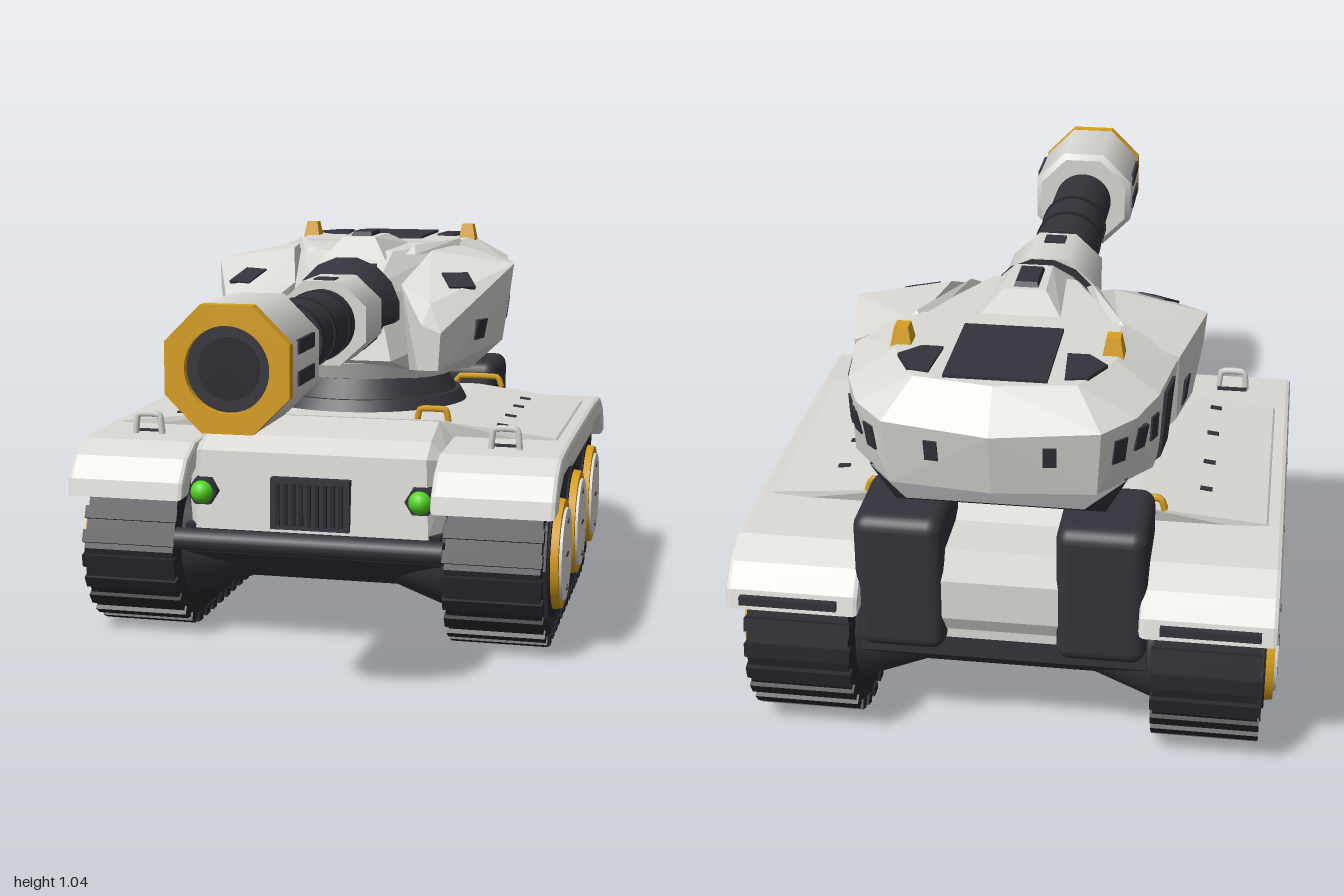
import * as THREE from 'three';
import { ConvexGeometry } from 'three/addons/geometries/ConvexGeometry.js';
import { RoundedBoxGeometry } from 'three/addons/geometries/RoundedBoxGeometry.js';

const paint = (name, color) => Object.assign(new THREE.MeshStandardMaterial({ color }), { name });

export function createModel() {
  const root = new THREE.Group();
  root.name = 'tank';
  const white = paint('white armour', 0xdbd9d5), dark = paint('dark metal', 0x34333b);
  const black = paint('black rubber', 0x27262d), yellow = paint('yellow trim', 0xd9a01e);
  const green = paint('green lamp', 0x52d41f);

  const add = (name, geo, mat, x = 0, y = 0, z = 0) => {
    const m = new THREE.Mesh(geo, mat);
    m.name = name;
    m.position.set(x, y, z);
    root.add(m);
    return m;
  };
  const vec = (p) => new THREE.Vector3(...p);
  // faceted solid around points; both = mirror the points across x
  const solid = (name, pts, mat, both = true, s = 1) => {
    const all = pts.map(([x, y, z]) => vec([x * s, y, z]));
    if (both) pts.forEach(([x, y, z]) => { if (x) all.push(vec([-x, y, z])); });
    return add(name, new ConvexGeometry(all), mat);
  };
  const box = (name, w, h, d, mat, x, y, z) => add(name, new THREE.BoxGeometry(w, h, d), mat, x, y, z);
  const shapeOf = (pts) => new THREE.Shape(pts.map(([a, b]) => new THREE.Vector2(a, b)));
  // side profile (z, y) extruded from x0 to x1
  const slabX = (name, shape, x0, x1, mat, bevel = 0) => {
    const geo = new THREE.ExtrudeGeometry(shape, {
      depth: x1 - x0 - 2 * bevel, bevelEnabled: bevel > 0, bevelSize: bevel, bevelOffset: -bevel,
      bevelThickness: bevel, bevelSegments: 2, curveSegments: 10 });
    return add(name, geo.rotateY(-Math.PI / 2).translate(x1 - bevel, 0, 0), mat);
  };
  const cylZ = (name, r0, r1, z0, z1, seg, mat, x, y) => add(name,
    new THREE.CylinderGeometry(r1, r0, z1 - z0, seg).rotateY(Math.PI / seg).rotateX(Math.PI / 2), mat, x, y, (z0 + z1) / 2);
  const cylX = (name, r0, r1, x0, x1, s, mat, y, z) => add(name,
    new THREE.CylinderGeometry(r1, r0, x1 - x0, 32).rotateZ(-s * Math.PI / 2), mat, s * (x0 + x1) / 2, y, z);
  const handle = (name, mat, x, y, z, w, h, r) => {
    const path = new THREE.CatmullRomCurve3([[-w / 2, 0, 0], [-w * 0.4, h, 0], [w * 0.4, h, 0], [w / 2, 0, 0]].map(vec), false, 'catmullrom', 0.2);
    return add(name, new THREE.TubeGeometry(path, 16, r, 6), mat, x, y, z);
  };
  // thin plate laid on the surface hit by a ray
  const ray = new THREE.Raycaster();
  const plate = (name, target, from, dir, w, h, mat) => {
    root.updateMatrixWorld(true);
    ray.set(vec(from), vec(dir).normalize());
    const hit = ray.intersectObject(target)[0];
    if (!hit) return;
    const m = box(name, w, h, 0.009, mat, 0, 0, 0);
    m.position.copy(hit.point);
    m.lookAt(hit.point.clone().add(hit.face.normal));
  };

  // hull
  solid('lowerHull', [[0.34, 0.32, 0.27], [0.34, 0.32, -0.84], [0.34, 0.24, 0.25], [0.34, 0.155, 0.14],
    [0.34, 0.155, -0.72], [0.34, 0.25, -0.84]], dark);
  const hull = solid('upperHull', [[0.29, 0.575, 0.02], [0.29, 0.575, -0.66], [0.3, 0.55, 0.19], [0.3, 0.515, 0.25],
    [0.31, 0.31, 0.272], [0.35, 0.5, 0.18], [0.35, 0.31, 0.2], [0.35, 0.52, -0.7], [0.31, 0.31, -0.8], [0.3, 0.53, -0.76]], white);
  const deck = solid('deck', [[0.29, 0.577, 0.02], [0.29, 0.577, -0.64], [0.6, 0.54, 0.01], [0.6, 0.54, -0.62],
    [0.63, 0.51, 0.01], [0.63, 0.51, -0.62], [0.63, 0.475, 0], [0.63, 0.475, -0.6]], white);
  add('frontBar', new THREE.CylinderGeometry(0.03, 0.03, 0.71, 12).rotateZ(Math.PI / 2), dark, 0, 0.285, 0.3);
  box('grilleFrame', 0.21, 0.135, 0.04, dark, 0, 0.388, 0.265);
  for (let i = -4; i <= 4; i++) box('grilleSlat', 0.01, 0.11, 0.012, black, i * 0.021, 0.388, 0.288);
  box('rearPanel', 0.3, 0.24, 0.2, white, 0, 0.43, -0.75);
  solid('rearPanelSlope', [[0.14, 0.55, -0.85], [0.14, 0.34, -0.86], [0.14, 0.38, -0.88], [0.14, 0.48, -0.88]], white);

  // running gear profiles, as (z, y)
  const trackLine = shapeOf([[0.325, 0.25], [0.31, 0.17], [0.25, 0.08], [0.15, 0.018], [-0.72, 0.018], [-0.83, 0.075],
    [-0.89, 0.17], [-0.91, 0.26], [-0.88, 0.37], [-0.79, 0.45], [0.16, 0.45], [0.27, 0.39]]);
  trackLine.closePath();
  const panelLine = shapeOf([[0.285, 0.25], [0.22, 0.11], [0.13, 0.055], [-0.71, 0.055], [-0.81, 0.11], [-0.865, 0.26],
    [-0.84, 0.36], [-0.77, 0.425], [0.15, 0.425], [0.25, 0.36]]);
  const fenderLine = shapeOf([[0.345, 0.395], [0.335, 0.44], [0.29, 0.495], [0.22, 0.528], [0.02, 0.535], [-0.62, 0.535],
    [-0.8, 0.525], [-0.87, 0.49], [-0.915, 0.44], [-0.928, 0.395], [-0.87, 0.395], [-0.83, 0.445], [-0.76, 0.47],
    [-0.6, 0.47], [-0.55, 0.455], [-0.05, 0.455], [0, 0.47], [0.18, 0.47], [0.25, 0.44], [0.285, 0.395]]);
  const links = trackLine.getSpacedPoints(46);

  for (const s of [1, -1]) {
    const span = (a, b) => (s > 0 ? [a, b] : [-b, -a]);
    // tracks with raised treads
    slabX('trackBelt', trackLine, ...span(0.36, 0.605), black);
    slabX('wheelPanel', panelLine, ...span(0.59, 0.613), dark);
    for (let i = 0; i < 46; i++) {
      const a = links[i], b = links[i + 1];
      const tread = box('tread', 0.255, 0.024, 0.034, black, s * 0.482, (a.y + b.y) / 2, (a.x + b.x) / 2);
      tread.rotation.x = -Math.atan2(b.y - a.y, b.x - a.x);
    }
    slabX('fender', fenderLine, ...span(0.325, 0.643), white, 0.012);
    // road wheels
    for (const z of [0.088, -0.288, -0.667]) {
      cylX('wheelRecess', 0.172, 0.165, 0.6, 0.618, s, black, 0.25, z);
      cylX('wheelRim', 0.15, 0.143, 0.6, 0.638, s, yellow, 0.25, z);
      cylX('wheelDisc', 0.125, 0.122, 0.62, 0.645, s, white, 0.25, z);
      for (const dy of [0.09, -0.09]) cylX('wheelBolt', 0.008, 0.008, 0.64, 0.648, s, dark, 0.25 + dy, z);
      box('wheelMark', 0.006, 0.006, 0.04, dark, s * 0.645, 0.25, z);
      cylX('axleHousing', 0.095, 0.165, 0.17, 0.365, s, dark, 0.25, z);
    }
    // fittings on the hull
    handle('liftingLoop', white, s * 0.485, 0.53, 0.135, 0.075, 0.052, 0.009);
    handle('frontHandle', yellow, s * 0.27, 0.57, 0.005, 0.085, 0.035, 0.009);
    handle('rearHandle', yellow, s * 0.29, 0.57, -0.635, 0.14, 0.03, 0.009);
    const lampRim = cylZ('lampHousing', 0.044, 0.04, 0.24, 0.285, 6, dark, s * 0.29, 0.41);
    lampRim.scale.y = 0.95;
    add('lamp', new THREE.SphereGeometry(0.031, 16, 10), green, s * 0.29, 0.41, 0.28);
    add('storageBox', new RoundedBoxGeometry(0.21, 0.35, 0.25, 3, 0.035), dark, s * 0.235, 0.465, -0.77);
    box('fenderSlot', 0.08, 0.006, 0.012, dark, s * 0.485, 0.537, 0.12);
    box('rearFenderStrip', 0.23, 0.02, 0.016, dark, s * 0.49, 0.42, -0.928);
    for (const z of [-0.05, -0.2, -0.36, -0.5]) plate('deckBolt', deck, [s * 0.45, 2, z], [0, -1, 0], 0.014, 0.03, dark);
  }

  // turret ring
  add('turretRing', new THREE.CylinderGeometry(0.28, 0.3, 0.035, 40), dark, 0, 0.59, -0.35);
  add('turretNeck', new THREE.CylinderGeometry(0.24, 0.27, 0.06, 40), dark, 0, 0.63, -0.35);
  add('turretSkirt', new THREE.CylinderGeometry(0.28, 0.255, 0.05, 24), white, 0, 0.68, -0.37);

  // turret shell
  const core = solid('turretCore', [[0.1, 1.0, -0.28], [0.24, 1.005, -0.56], [0.09, 0.92, -0.1], [0.14, 0.72, -0.06],
    [0.3, 0.72, -0.55], [0.2, 0.67, -0.2], [0.25, 0.67, -0.55], [0.36, 0.8, -0.5]], white);
  const bustle = solid('turretBustle', [[0.24, 1.01, -0.55], [0.25, 1.01, -0.76], [0.18, 1.01, -0.9], [0, 1.01, -0.93],
    [0.38, 0.95, -0.58], [0.35, 0.95, -0.8], [0.31, 0.94, -0.9], [0.24, 0.93, -0.97], [0, 0.92, -1.0],
    [0.36, 0.78, -0.58], [0.34, 0.77, -0.8], [0.23, 0.77, -0.945], [0, 0.77, -0.97],
    [0.28, 0.7, -0.52], [0.28, 0.72, -0.68], [0.18, 0.75, -0.91]], white);
  solid('bustleBand', [[0.376, 0.93, -0.655], [0.365, 0.93, -0.745], [0.362, 0.77, -0.655], [0.353, 0.77, -0.745],
    [0.29, 0.705, -0.655], [0.29, 0.71, -0.745]], dark);
  solid('bustleUnderside', [[0.3, 0.775, -0.66], [0.29, 0.775, -0.88], [0.27, 0.68, -0.7], [0.24, 0.675, -0.85],
    [0.2, 0.72, -0.925], [0.27, 0.7, -0.64]], dark);

  for (const s of [1, -1]) {
    // swept cheek armour
    const cheek = solid('turretCheek', [[0.24, 0.83, 0.02], [0.29, 0.81, 0.015], [0.285, 0.71, 0.02], [0.23, 0.71, 0.02],
      [0.25, 0.88, -0.05], [0.43, 0.965, -0.36], [0.422, 0.88, -0.34], [0.4, 0.75, -0.36], [0.32, 0.675, -0.3],
      [0.38, 0.955, -0.61], [0.375, 0.78, -0.57], [0.3, 0.69, -0.58], [0.2, 1.0, -0.33], [0.24, 1.0, -0.58],
      [0.15, 0.92, -0.15], [0.18, 0.69, -0.12]], white, false, s);
    plate('cheekUpperPort', cheek, [s * 0.3, 2, -0.2], [0, -1, 0], 0.075, 0.08, dark);
    plate('cheekFrontPort', cheek, [s * 2, 0.8, -0.19], [-s, 0, 0], 0.06, 0.055, dark);
    plate('cheekRearPort', cheek, [s * 2, 0.83, -0.51], [-s, 0, 0], 0.045, 0.065, dark);
    // ports on the bustle
    for (const z of [-0.815, -0.87]) plate('bustlePort', bustle, [s * 2, 0.88, z], [-s, 0, 0], 0.032, 0.06, dark);
    plate('bustleCornerPort', bustle, [s * 0.275, 0.87, -2], [0, 0, 1], 0.035, 0.06, dark);
    plate('bustleRearPort', bustle, [s * 0.13, 0.87, -2], [0, 0, 1], 0.03, 0.05, dark);
    // roof covers and beacons
    const cover = shapeOf([[0.14, -0.75], [0.19, -0.75], [0.235, -0.8], [0.2, -0.87], [0.15, -0.88]].map(([x, z]) => [x * s, z]));
    add('roofCover', new THREE.ExtrudeGeometry(cover, { depth: 0.009, bevelEnabled: false }).rotateX(Math.PI / 2), dark, 0, 1.016, 0);
    const bx = 0.24 * s;
    solid('beacon', [-1, 1].flatMap((i) => [-1, 1].flatMap((k) => [[bx + i * 0.027, 0.99, -0.715 + k * 0.03],
      [bx + i * 0.016, 1.05, -0.715 + k * 0.018]])), yellow, false);
    // raised roof rail
    solid('roofRail', [[0.13, 0.99, -0.3], [0.16, 0.99, -0.3], [0.15, 1.013, -0.34], [0.22, 0.99, -0.58], [0.26, 0.99, -0.58],
      [0.24, 1.018, -0.56]], white, false, s);
  }
  box('roofPanel', 0.23, 0.009, 0.28, dark, 0, 1.013, -0.76);

  // roof hatch and front vent
  solid('roofHatch', [[0.09, 0.98, -0.22], [0.1, 1.0, -0.54], [0.045, 1.038, -0.29], [0.05, 1.038, -0.45]], white);
  solid('hatchSight', [[0.032, 1.03, -0.31], [0.032, 1.03, -0.44], [0.026, 1.05, -0.33], [0.026, 1.05, -0.43]], dark);
  plate('frontVent', core, [0, 2, -0.16], [0, -1, 0], 0.14, 0.1, dark);

  // gun
  const gy = 0.845, octa = 1 / Math.cos(Math.PI / 8);
  cylZ('gunCollar', 0.15, 0.1, -0.14, -0.03, 16, dark, 0, gy);
  const mantlet = cylZ('mantlet', 0.11 * octa, 0.11 * octa, -0.04, 0.15, 8, white, 0, gy);
  mantlet.scale.x = 1.08;
  plate('mantletPort', mantlet, [0, 2, 0.1], [0, -1, 0], 0.055, 0.05, dark);
  cylZ('barrelRear', 0.09, 0.088, 0.1, 0.51, 32, dark, 0, gy);
  cylZ('barrelFront', 0.083, 0.083, 0.5, 0.73, 32, dark, 0, gy);
  for (const z of [0.2, 0.36, 0.49]) cylZ('barrelRing', 0.092, 0.092, z, z + 0.015, 32, black, 0, gy);
  cylZ('muzzleBack', 0.125 * octa, 0.14 * octa, 0.72, 0.735, 8, white, 0, gy);
  cylZ('muzzle', 0.14 * octa, 0.14 * octa, 0.735, 0.975, 8, white, 0, gy);
  const rim = shapeOf([...Array(8).keys()].map((i) => {
    const a = (i + 0.5) * Math.PI / 4;
    return [0.141 * octa * Math.cos(a), 0.141 * octa * Math.sin(a)];
  }));
  rim.holes.push(new THREE.Path().absarc(0, 0, 0.096, 0, Math.PI * 2, true));
  add('muzzleRim', new THREE.ExtrudeGeometry(rim, { depth: 0.03, bevelEnabled: false, curveSegments: 24 }), yellow, 0, gy, 0.97);
  cylZ('bore', 0.1, 0.1, 0.95, 0.982, 32, dark, 0, gy);
  cylZ('boreCore', 0.07, 0.07, 0.96, 0.985, 32, black, 0, gy);
  for (const s of [1, -1]) for (const y of [0.045, -0.025])
    box('muzzleSlot', 0.009, 0.032, 0.14, dark, s * 0.14, gy + y, 0.86);

  return root;
}
